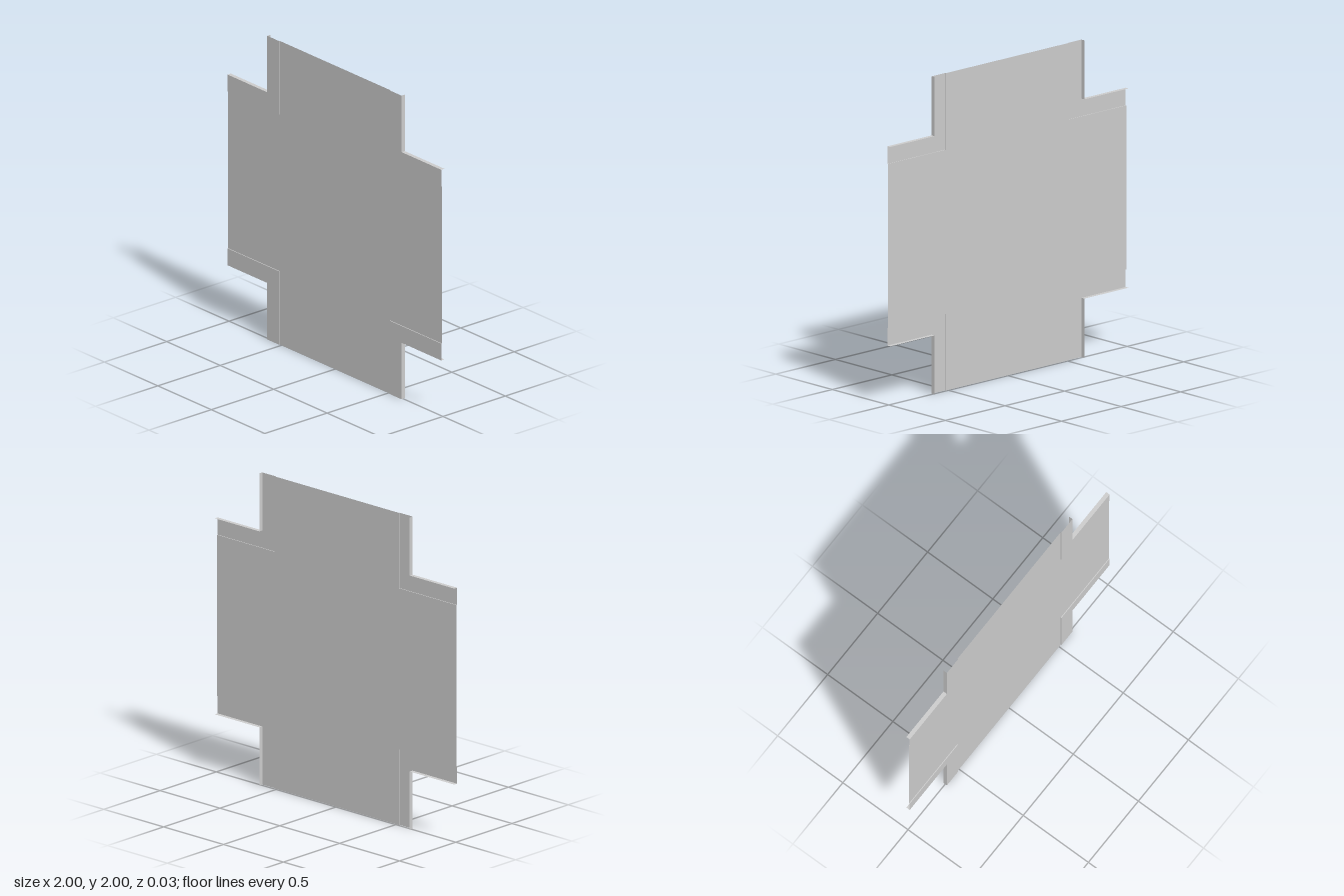
import * as THREE from 'three';

const INNER = 0.517;  // half width between the curbs
const OUTER = 0.628;  // half width out to the side walls
const TOP = 0.013, ROAD = 0.008, BASE = -0.013; // depth levels in z

const material = new THREE.MeshStandardMaterial({ color: 0xcccccc, side: THREE.DoubleSide });

// Flat sheet with the given outline at depth z
function sheet(name, points, z) {
  const geometry = new THREE.ShapeGeometry(new THREE.Shape(points)).translate(0, 0, z);
  const mesh = new THREE.Mesh(geometry, material);
  mesh.name = name;
  return mesh;
}

// Strips standing along an open path, from depth z0 to z1
function strip(name, points, z0, z1) {
  const positions = [];
  for (let i = 0; i < points.length - 1; i++) {
    const a = points[i], b = points[i + 1];
    positions.push(a.x, a.y, z0, b.x, b.y, z0, b.x, b.y, z1);
    positions.push(a.x, a.y, z0, b.x, b.y, z1, a.x, a.y, z1);
  }
  const geometry = new THREE.BufferGeometry();
  geometry.setAttribute('position', new THREE.Float32BufferAttribute(positions, 3));
  geometry.computeVertexNormals();
  const mesh = new THREE.Mesh(geometry, material);
  mesh.name = name;
  return mesh;
}

export function createModel() {
  const model = new THREE.Group();
  model.name = 'crossroadPanel';
  const roadOutline = [];

  // Four corners: raised L-shaped walkway, low curb inside, deeper wall outside
  for (const [sx, sy] of [[1, 1], [-1, 1], [-1, -1], [1, -1]]) {
    const elbow = (d) => [[1, d], [d, d], [d, 1]].map(([x, y]) => new THREE.Vector2(x * sx, y * sy));
    const curb = elbow(INNER), wall = elbow(OUTER);
    const corner = new THREE.Group();
    corner.name = `${sy > 0 ? 'upper' : 'lower'}${sx > 0 ? 'Left' : 'Right'}Corner`;
    corner.add(
      sheet('walkway', [...curb, ...wall.slice().reverse()], TOP),
      strip('curb', curb, ROAD, TOP),
      strip('sideWall', wall, BASE, TOP)
    );
    model.add(corner);
    // Keep the road outline running the same way round in every quadrant
    roadOutline.push(...(sx * sy > 0 ? curb : curb.slice().reverse()));
  }

  // Cross-shaped road surface between the curbs
  model.add(sheet('road', roadOutline, ROAD));

  model.position.y = 1;
  const root = new THREE.Group();
  root.add(model);
  return root;
}
